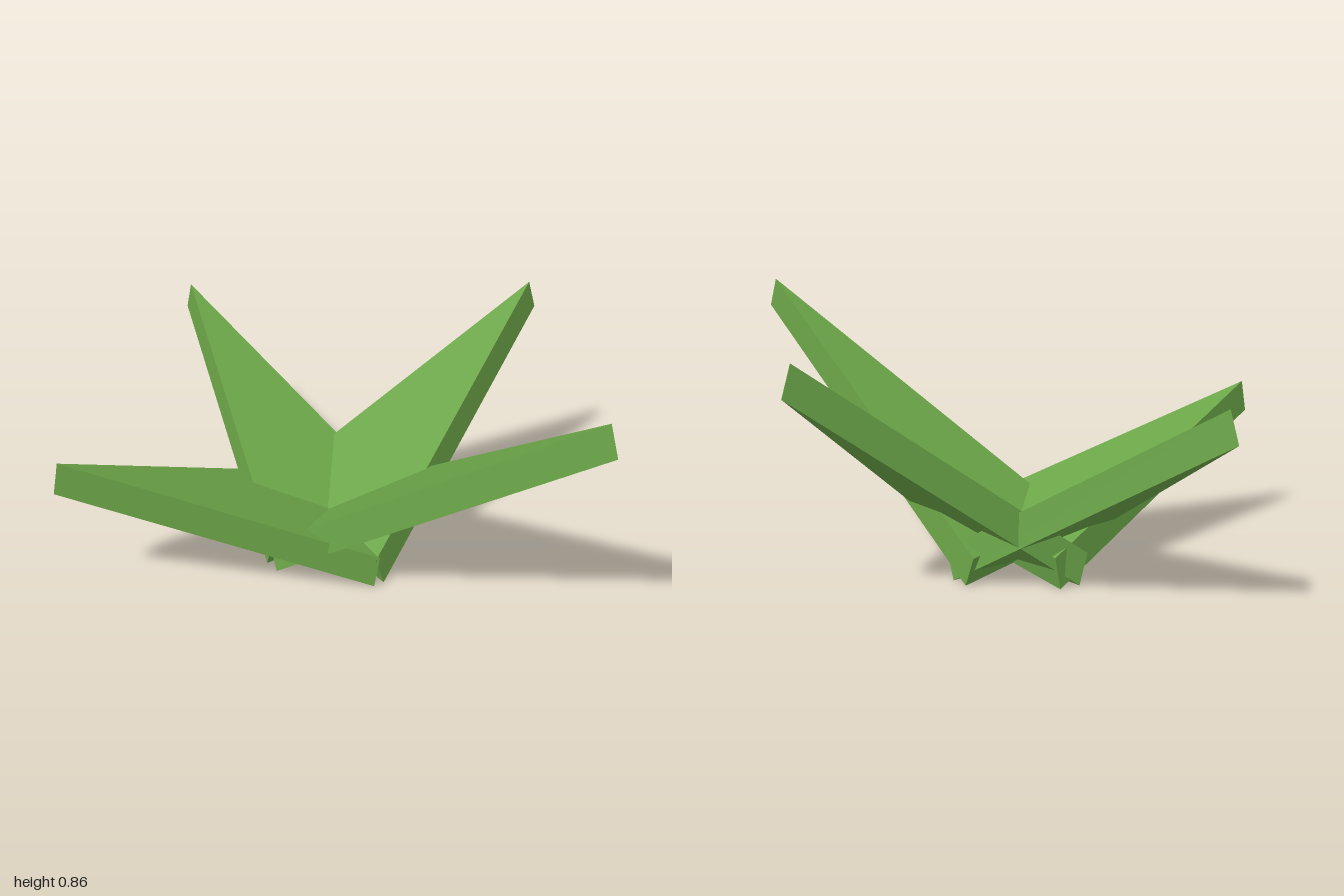
import * as THREE from 'three';

const green = new THREE.MeshStandardMaterial({ color: 0x6ba548, flatShading: true });
green.name = 'leafGreen';

// Triangular slab: underside corners a, b and tip t, thickened along the vector up.
// Corners run counter-clockwise as seen from above.
function leafGeometry(a, b, t, up) {
  const lower = [a, b, t].map((p) => new THREE.Vector3(...p));
  const upper = lower.map((p) => p.clone().add(new THREE.Vector3(...up)));
  const points = [...upper, lower[2], lower[1], lower[0]];
  for (let i = 0; i < 3; i++) {
    const j = (i + 1) % 3;
    points.push(lower[i], lower[j], upper[j]);
    points.push(lower[i], upper[j], upper[i]);
  }
  const geometry = new THREE.BufferGeometry().setFromPoints(points);
  geometry.computeVertexNormals();
  return geometry;
}

// Four slanted leaves whose wide bases cross one another on the ground
const leaves = [
  { name: 'frontLeaf', a: [0.305, 0, -0.16], b: [-0.24, 0, -0.03], t: [0.262, 0.763, 1.0], up: [-0.002, 0.1, -0.037] },
  { name: 'backLeaf', a: [-0.24, 0, -0.09], b: [0.302, 0, -0.096], t: [0, 0.578, -1.0], up: [0, 0.1, 0.036] },
  { name: 'leftLeaf', a: [0.03, 0, -0.4], b: [0.02, 0, 0.235], t: [0.905, 0.687, -0.06], up: [-0.034, 0.102, 0] },
  { name: 'rightLeaf', a: [-0.02, 0, 0.235], b: [0.1, 0, -0.385], t: [-0.905, 0.412, -0.292], up: [0.02, 0.108, 0.004] },
];

export function createModel() {
  const plant = new THREE.Group();
  plant.name = 'plant';
  for (const { name, a, b, t, up } of leaves) {
    const leaf = new THREE.Mesh(leafGeometry(a, b, t, up), green);
    leaf.name = name;
    plant.add(leaf);
  }
  return plant;
}
